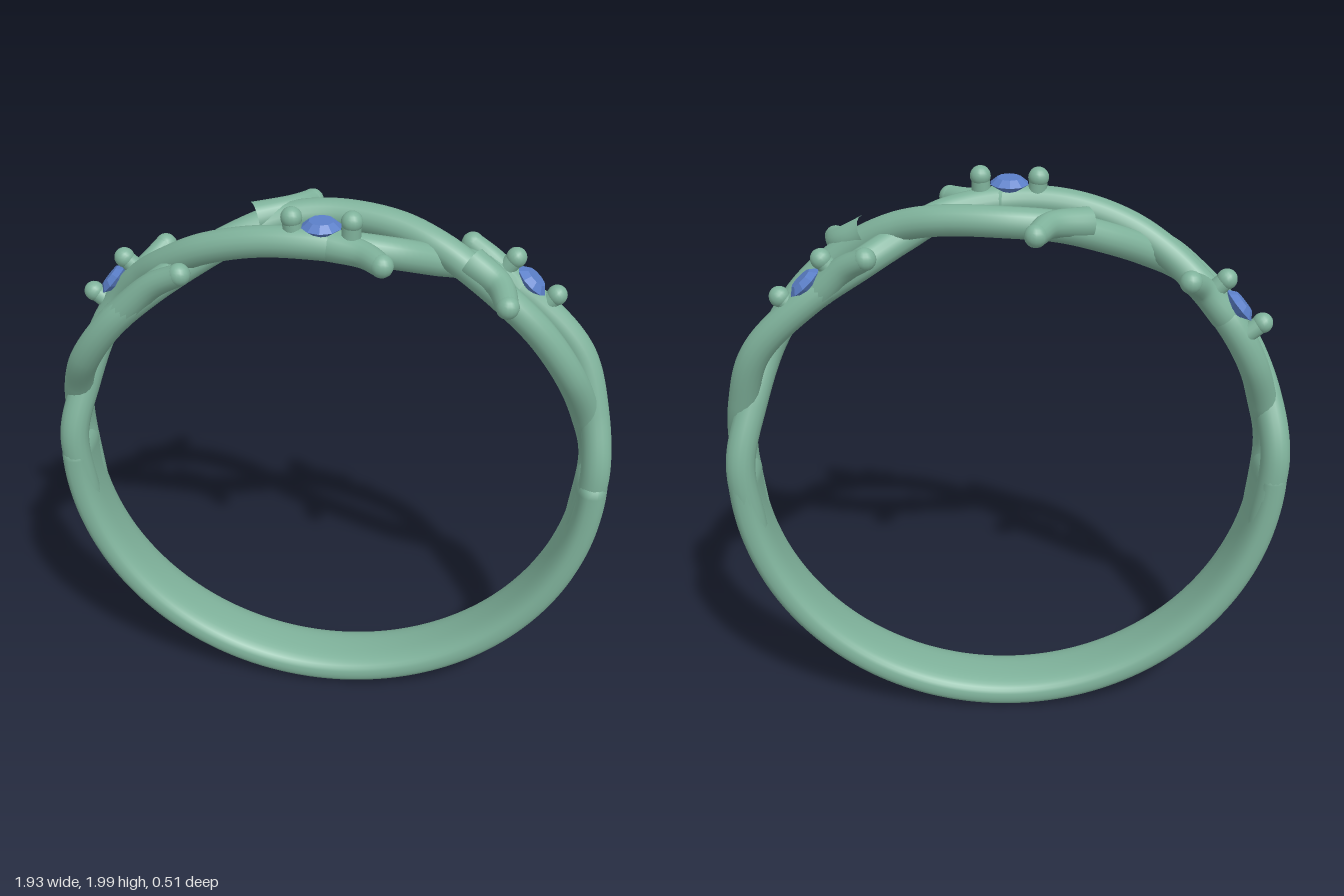
import * as THREE from 'three';
import { ParametricGeometry } from 'three/addons/geometries/ParametricGeometry.js';

const CENTRE_Y = 0.97;
const V = (x, y, z) => new THREE.Vector3(x, y, z);

// Point on the ring from an angle in degrees (0 = +x, 90 = top), radius and depth
function polar(deg, r, z) {
  const a = THREE.MathUtils.degToRad(deg);
  return V(Math.cos(a) * r, CENTRE_Y + Math.sin(a) * r, z);
}

// Smooth tube through points whose thickness runs from r0 to r1
function limb(points, r0, r1, segments) {
  const curve = new THREE.CatmullRomCurve3(points);
  const geo = new THREE.TubeGeometry(curve, segments, 1, 16);
  const pos = geo.attributes.position;
  const p = new THREE.Vector3();
  for (let i = 0; i < pos.count; i++) {
    const t = Math.floor(i / 17) / segments;
    const c = curve.getPointAt(t);
    p.fromBufferAttribute(pos, i).sub(c).multiplyScalar(r0 + (r1 - r0) * t).add(c);
    pos.setXYZ(i, p.x, p.y, p.z);
  }
  return geo;
}

export function createModel() {
  const root = new THREE.Group();
  const metal = new THREE.MeshStandardMaterial({ color: 0x7fb29b });
  const stone = new THREE.MeshStandardMaterial({ color: 0x5b7fc8, flatShading: true });

  const add = (name, geo, parent = root, mat = metal) => {
    const m = new THREE.Mesh(geo, mat);
    m.name = name;
    parent.add(m);
    return m;
  };

  // Lower band: wide rounded section swept round the bottom, closing at both ends
  const squash = (v) => Math.sign(v) * Math.pow(Math.abs(v), 0.75);
  add('band', new ParametricGeometry((u, v, target) => {
    const end = Math.min(1, Math.min(u, 1 - u) / 0.025);
    const size = Math.sqrt(1 - (1 - end) ** 2);
    const f = v * Math.PI * 2;
    const side = Math.cos(THREE.MathUtils.degToRad(176 + 188 * u));
    target.copy(polar(
      176 + 188 * u,
      0.909 + 0.055 * size * squash(Math.cos(f)),
      -0.056 + 0.013 * side + 0.114 * size * squash(Math.sin(f))
    ));
  }, 120, 32));

  // Two twining strands: [angle, radius, depth]
  const strandA = [
    [-12, 0.905, -0.01], [4, 0.915, 0.01], [17, 0.93, -0.045], [30, 0.95, -0.09],
    [46, 0.92, -0.105], [59, 0.9, -0.075], [68, 0.893, 0.01], [77, 0.902, 0.085],
    [90, 0.91, 0.115], [103, 0.925, 0.095], [115, 0.933, 0.05], [125, 0.93, -0.01],
    [133, 0.925, -0.075], [142, 0.92, -0.125], [152, 0.91, -0.12], [163, 0.9, -0.065],
    [175, 0.91, -0.01], [192, 0.908, -0.02],
  ];
  const strandB = [
    [-12, 0.908, -0.1], [4, 0.912, -0.105], [17, 0.9, -0.045], [30, 0.91, 0.04],
    [42, 0.92, 0.07], [52, 0.925, 0.07], [60, 0.93, 0.045], [68, 0.935, 0.0],
    [77, 0.93, -0.06], [90, 0.915, -0.11], [100, 0.91, -0.1], [110, 0.898, -0.055],
    [120, 0.895, 0.01], [130, 0.905, 0.07], [140, 0.915, 0.085], [152, 0.92, 0.05],
    [163, 0.92, -0.045], [175, 0.915, -0.125], [192, 0.908, -0.125],
  ];
  add('strandA', limb(strandA.map((p) => polar(...p)), 0.05, 0.05, 160));
  add('strandB', limb(strandB.map((p) => polar(...p)), 0.05, 0.05, 160));

  // Broken twig stubs: root, bend and tip
  const twigs = [
    [[0.0, 1.88, 0.11], [0.12, 1.87, 0.15], [0.183, 1.865, 0.212]],
    [[-0.25, 1.87, -0.08], [-0.13, 1.885, -0.14], [-0.08, 1.88, -0.222]],
    [[0.45, 1.81, 0.04], [0.54, 1.76, 0.09], [0.568, 1.737, 0.19]],
    [[-0.69, 1.57, 0.08], [-0.56, 1.7, 0.1], [-0.46, 1.76, 0.13]],
    [[-0.7, 1.57, -0.12], [-0.62, 1.66, -0.13], [-0.572, 1.71, -0.19]],
    [[0.6, 1.66, -0.1], [0.52, 1.74, -0.12], [0.45, 1.785, -0.155]],
  ];
  for (const t of twigs) {
    const twig = new THREE.Group();
    twig.name = 'twig';
    root.add(twig);
    const pts = t.map((p) => V(...p));
    add('twigStem', limb(pts, 0.052, 0.036, 16), twig);
    add('twigTip', new THREE.SphereGeometry(0.037, 16, 12), twig).position.copy(pts[2]);
  }

  // Gems set between pairs of ball-ended prongs: [angle, radius, depth, prong slant]
  const gemProfile = [[0, -0.045], [0.064, 0], [0.04, 0.02], [0, 0.02]]
    .map(([x, y]) => new THREE.Vector2(x, y));
  for (const [deg, r, z, slant] of [
    [90.6, 0.97, 0.113, 0.008], [48, 0.967, -0.1, 0], [139.5, 0.977, -0.128, 0.012],
  ]) {
    const setting = new THREE.Group();
    setting.name = 'gemSetting';
    setting.position.copy(polar(deg, r, z));
    setting.rotation.z = THREE.MathUtils.degToRad(deg - 90);
    root.add(setting);
    add('gem', new THREE.LatheGeometry(gemProfile, 10), setting, stone);
    for (const s of [-1, 1]) {
      const tip = V(s * 0.094, 0.022, s * slant);
      add('prong', limb([V(s * 0.088, -0.08, s * slant), tip], 0.034, 0.029, 6), setting);
      add('prongBall', new THREE.SphereGeometry(0.034, 16, 12), setting).position.copy(tip);
    }
  }

  return root;
}
